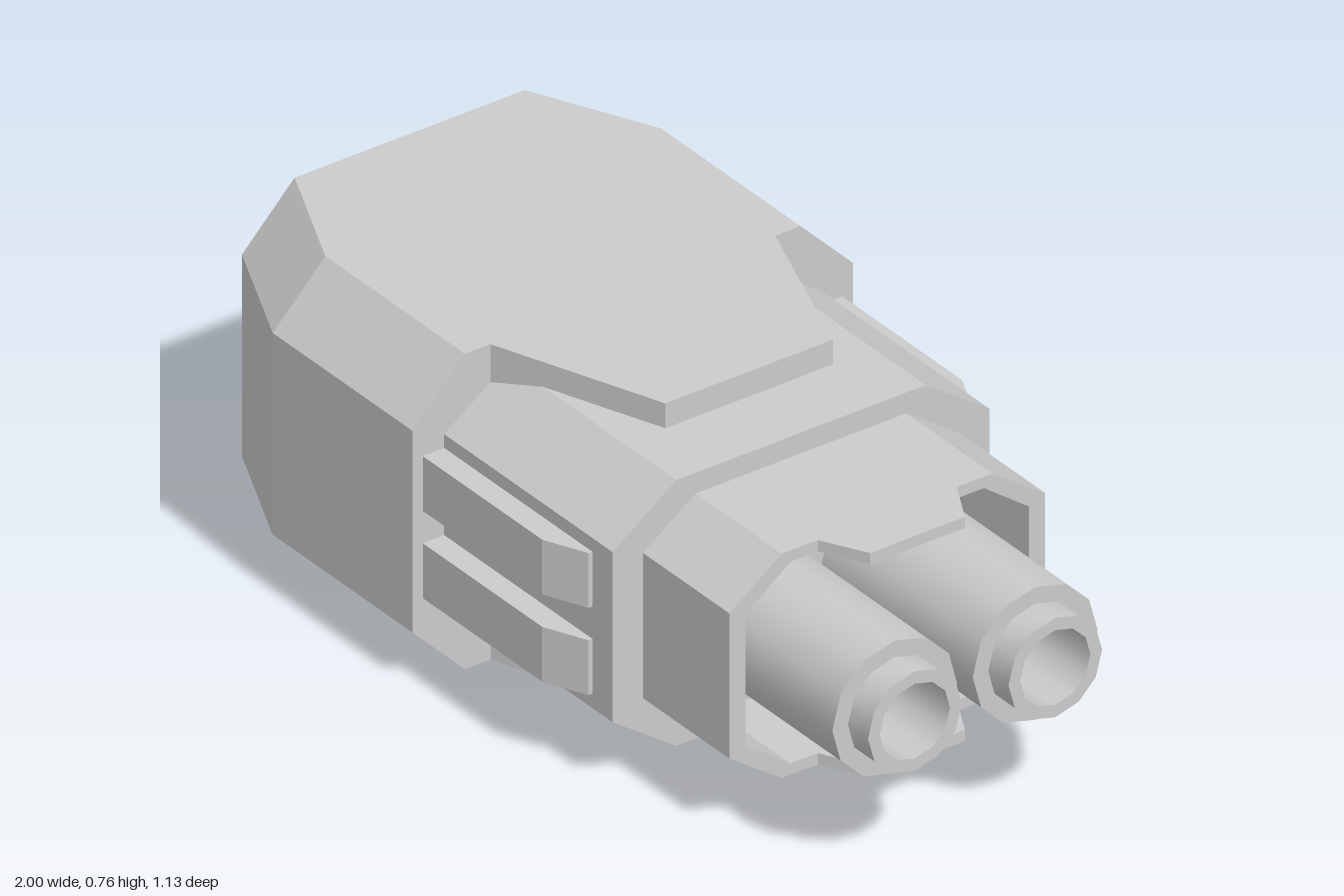
import * as THREE from 'three';
import { toCreasedNormals } from 'three/addons/utils/BufferGeometryUtils.js';

const MID_Y = 0.38;

// Loft through chamfered octagons [x, halfWidth, halfHeight, halfTopWidth, halfSideHeight], capped at both ends
function octagonLoft(sections) {
  const pos = [], index = [];
  for (const [x, w, h, t, s] of sections) {
    const ring = [[h, t], [s, w], [-s, w], [-h, t], [-h, -t], [-s, -w], [s, -w], [h, -t]];
    for (const [y, z] of ring) pos.push(x, MID_Y + y, z);
  }
  for (let i = 0; i < sections.length - 1; i++) {
    for (let j = 0; j < 8; j++) {
      const a = i * 8 + j, b = i * 8 + (j + 1) % 8;
      index.push(a, b, b + 8, a, b + 8, a + 8);
    }
  }
  const last = (sections.length - 1) * 8;
  for (let j = 1; j < 7; j++) {
    index.push(0, j + 1, j);
    index.push(last, last + j, last + j + 1);
  }
  const geo = new THREE.BufferGeometry();
  geo.setAttribute('position', new THREE.Float32BufferAttribute(pos, 3));
  geo.setIndex(index);
  const flat = geo.toNonIndexed();
  flat.computeVertexNormals();
  return flat;
}

// Horizontal slab from an outline of [x, z] points, between heights y0 and y1
function slab(outline, y0, y1) {
  const shape = new THREE.Shape(outline.map(([x, z]) => new THREE.Vector2(x, -z)));
  const geo = new THREE.ExtrudeGeometry(shape, { depth: y1 - y0, bevelEnabled: false });
  return geo.rotateX(-Math.PI / 2).translate(0, y0, 0);
}

export function createModel() {
  const group = new THREE.Group();
  const flatMat = new THREE.MeshStandardMaterial({ color: 0xcccccc, flatShading: true });
  const smoothMat = new THREE.MeshStandardMaterial({ color: 0xcccccc });
  const add = (name, geo, mat = flatMat) => {
    const mesh = new THREE.Mesh(geo, mat);
    mesh.name = name;
    group.add(mesh);
    return mesh;
  };

  // Main housing in three stepped sections
  add('rearHousing', octagonLoft([
    [-1, 0.43, 0.38, 0.295, 0.243],
    [-0.71, 0.565, 0.38, 0.43, 0.243],
    [-0.225, 0.565, 0.38, 0.43, 0.243],
  ]));
  add('middleHousing', octagonLoft([
    [-0.225, 0.483, 0.32, 0.32, 0.205],
    [0.36, 0.483, 0.32, 0.32, 0.205],
  ]));
  // Front shroud with a recess around the barrels
  add('frontShroud', octagonLoft([
    [0.36, 0.405, 0.27, 0.27, 0.175],
    [0.66, 0.405, 0.27, 0.27, 0.175],
    [0.66, 0.364, 0.243, 0.248, 0.157],
    [0.4, 0.364, 0.243, 0.248, 0.157],
  ]));

  // Tapered plates and shroud tabs, top and bottom
  const plate = [[-0.225, 0.365], [0.18, 0.215], [0.18, -0.215], [-0.225, -0.365]];
  const tab = [[0.66, 0.178], [0.765, 0.122], [0.765, -0.122], [0.66, -0.178]];
  add('topPlate', slab(plate, 0.6, 0.76));
  add('bottomPlate', slab(plate, 0, 0.16));
  add('topTab', slab(tab, 0.623, 0.65));
  add('bottomTab', slab(tab, 0.11, 0.137));

  // Paired ribs on each flank
  for (const side of [1, -1]) {
    const rib = [[-0.225, 0.46], [-0.225, 0.538], [0.19, 0.538], [0.29, 0.493], [0.29, 0.46]]
      .map(([x, z]) => [x, z * side]);
    add('upperRib', slab(rib, 0.42, 0.552));
    add('lowerRib', slab(rib, 0.21, 0.342));
  }

  // Twin hollow barrels
  const profile = [[0.16, 0.39], [0.16, 0.93], [0.12, 0.93], [0.12, 1], [0.09, 1], [0.09, 0.6], [0, 0.6]]
    .map(([r, x]) => new THREE.Vector2(r, x));
  const barrelGeo = toCreasedNormals(new THREE.LatheGeometry(profile, 12), 0.7).rotateZ(-Math.PI / 2);
  for (const z of [0.18, -0.18]) add('barrel', barrelGeo, smoothMat).position.set(0, MID_Y, z);

  return group;
}
